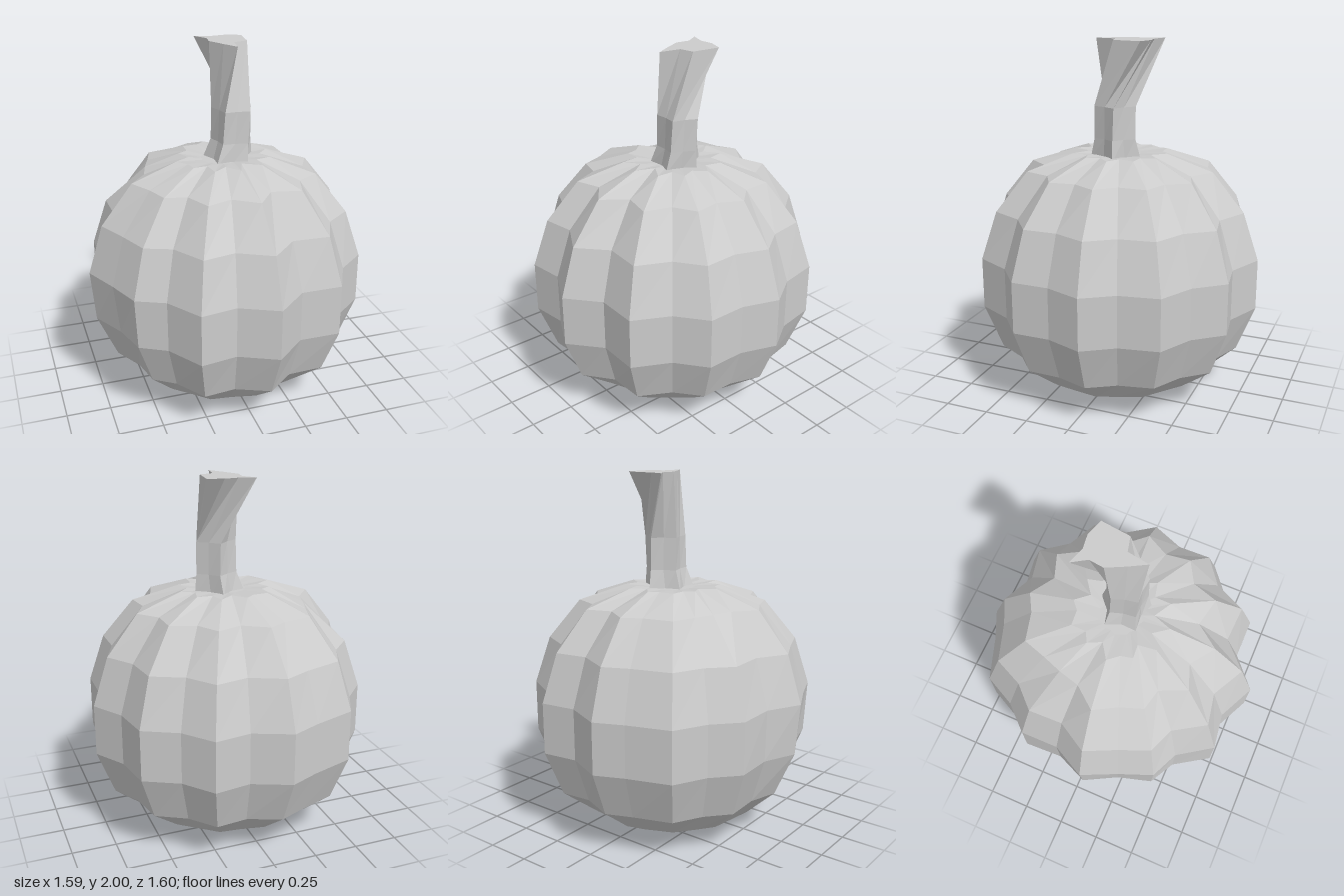
import * as THREE from 'three';

const material = new THREE.MeshStandardMaterial({ color: 0xcccccc, flatShading: true });

// Joins rings of points (listed bottom to top) and closes both ends to a point.
function loft(name, bottom, rings, top) {
  const n = rings[0].length;
  const points = [bottom, ...rings.flat(), top];
  const last = points.length - 1;
  const index = [];
  for (let i = 0; i < n; i++) {
    const k = (i + 1) % n;
    index.push(0, 1 + i, 1 + k);
    for (let j = 0; j < rings.length - 1; j++) {
      const a = 1 + j * n + i, b = 1 + j * n + k;
      index.push(a, a + n, b, b, a + n, b + n);
    }
    const t = 1 + (rings.length - 1) * n;
    index.push(t + i, last, t + k);
  }
  const indexed = new THREE.BufferGeometry();
  indexed.setAttribute('position', new THREE.Float32BufferAttribute(points.flat(), 3));
  indexed.setIndex(index);
  const geometry = indexed.toNonIndexed();
  geometry.computeVertexNormals();
  const mesh = new THREE.Mesh(geometry, material);
  mesh.name = name;
  return mesh;
}

// Widest outline of the pumpkin in x, z: rib, groove, rib, groove...
const outline = [
  [0.80, -0.09], [0.73, 0.11], [0.73, 0.32], [0.57, 0.45], [0.47, 0.65], [0.24, 0.65],
  [0.07, 0.80], [-0.14, 0.70], [-0.34, 0.73], [-0.47, 0.54], [-0.63, 0.47], [-0.71, 0.28],
  [-0.80, 0.08], [-0.70, -0.11], [-0.70, -0.33], [-0.57, -0.47], [-0.48, -0.65], [-0.24, -0.73],
  [-0.08, -0.80], [0.13, -0.71], [0.33, -0.74], [0.46, -0.58], [0.65, -0.48], [0.69, -0.26],
];

// Height, rib radius and groove strength of each level
const levels = [
  [0.08, 0.50, 0.4], [0.24, 0.70, 0.9], [0.50, 0.80, 1], [0.79, 0.80, 1],
  [1.06, 0.71, 1.1], [1.28, 0.53, 1.5], [1.37, 0.27, 2.6], [1.36, 0.12, 1],
];

function makeBody() {
  const rings = levels.map(([y, radius, groove], level) => outline.map(([x, z], i) => {
    const full = Math.hypot(x, z);
    let r = radius * (1 - groove * (1 - full / 0.8));
    // Squashed patch low on the front side
    const patch = Math.hypot(x + 0.76, z - 0.25);
    if (level < 4) r -= [0.02, 0.07, 0.05, 0.01][level] * Math.max(0, 1 - patch / 0.45);
    // Short sharp notch high on the back shoulder
    if (level === 5 && i === 14) r -= 0.06;
    return [(x / full) * r, y, (z / full) * r];
  }));
  return loft('pumpkinBody', [-0.03, 0, 0], rings, [0.03, 1.36, 0]);
}

// Cut end of the stem in x, z
const stemTop = [
  [0.15, -0.02], [0.07, 0.0], [0.05, 0.12], [0.0, 0.03], [-0.05, -0.07],
  [-0.04, -0.15], [-0.09, -0.23], [0.0, -0.20], [0.08, -0.21], [0.17, -0.18],
];

function makeStem() {
  // Height, centre x, ridge radius, hollow radius, twist in degrees
  const rings = [[1.34, 0.04, 0.15, 0.10, 62], [1.46, 0.06, 0.12, 0.09, 60], [1.64, 0.065, 0.12, 0.09, 56]]
    .map(([y, cx, ridge, hollow, twist]) => stemTop.map((_, i) => {
      const a = THREE.MathUtils.degToRad(i * 36 + twist);
      const r = i % 2 ? hollow : ridge;
      return [cx + r * Math.cos(a), y, r * Math.sin(a)];
    }));
  rings.push(stemTop.map(([x, z]) => [x, 2, z]));
  return loft('stem', [0.04, 1.34, 0], rings, [0.05, 2, -0.09]);
}

export function createModel() {
  const group = new THREE.Group();
  group.name = 'pumpkin';
  group.add(makeBody(), makeStem());
  return group;
}
